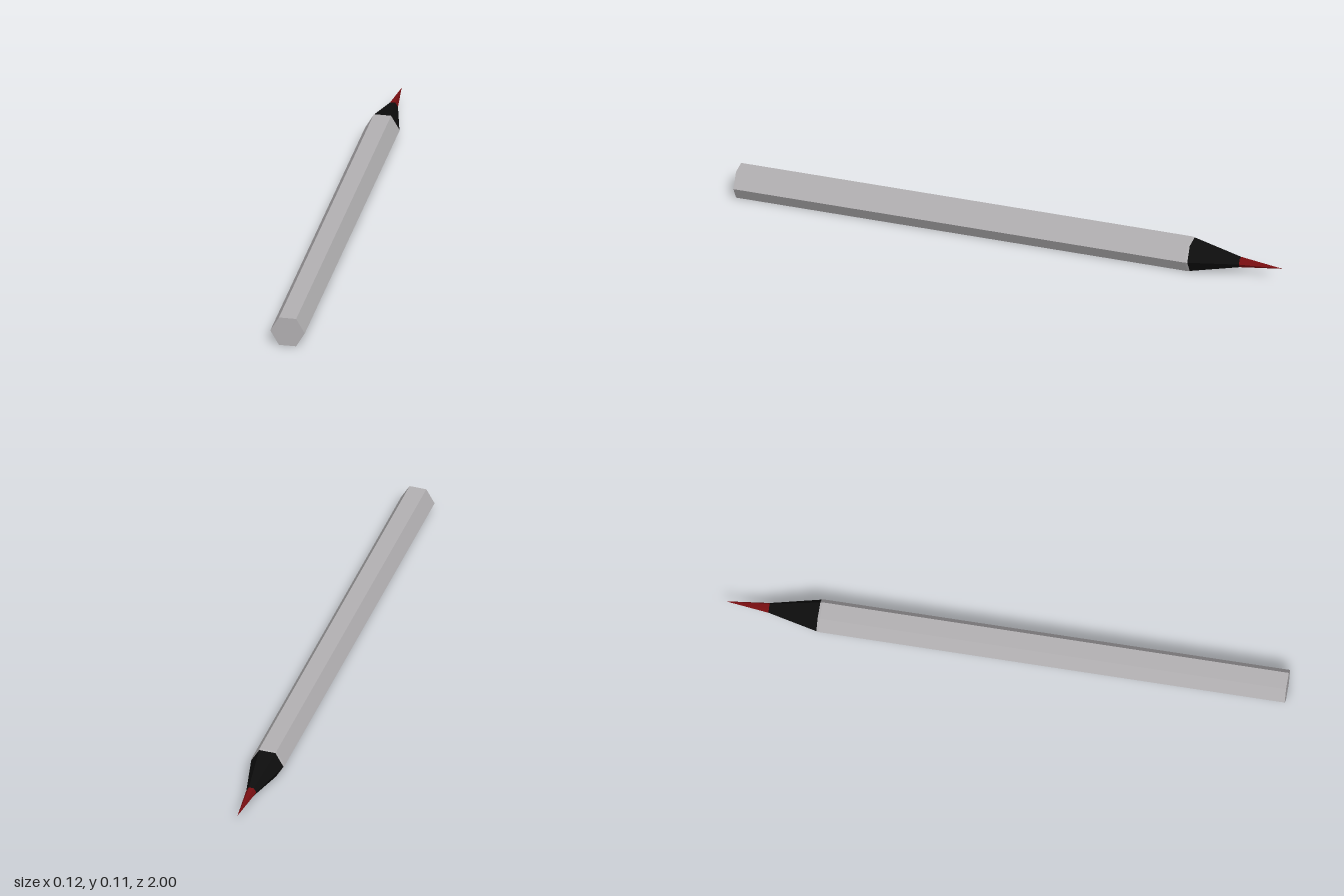
import * as THREE from 'three';

const R = 0.0618;                       // corner radius of the hexagon
const CENTRE = R * Math.cos(Math.PI / 6);

const paint = (name, color) => {
  const m = new THREE.MeshStandardMaterial({ color, flatShading: true });
  m.name = name;
  return m;
};

// Six-sided section along z, from z0 (radius r0) back to z1 (radius r1)
function section(name, material, z0, r0, z1, r1, open = true) {
  const g = new THREE.CylinderGeometry(r1, r0, z0 - z1, 6, 1, open, Math.PI / 2);
  g.rotateX(-Math.PI / 2);
  const mesh = new THREE.Mesh(g, material);
  mesh.name = name;
  mesh.position.set(0, CENTRE, (z0 + z1) / 2);
  return mesh;
}

export function createModel() {
  const grey = paint('grey lacquer', 0xb2b0b2);
  const black = paint('black wood', 0x0d0d0d);
  const red = paint('dark red lead', 0x780d10);

  const pencil = new THREE.Group();
  pencil.name = 'pencil';
  pencil.add(
    // Painted barrel with a flat end
    section('barrel', grey, 1, R, -0.66, R, false),
    // Thin painted rim where the sharpening starts
    section('barrelRim', grey, -0.66, R, -0.668, 0.0598),
    // Sharpened wood, narrowing to the lead
    section('sharpenedWood', black, -0.668, 0.0598, -0.845, 0.0185),
    // Pointed lead
    section('leadTip', red, -0.845, 0.0185, -1, 0),
  );
  return pencil;
}
